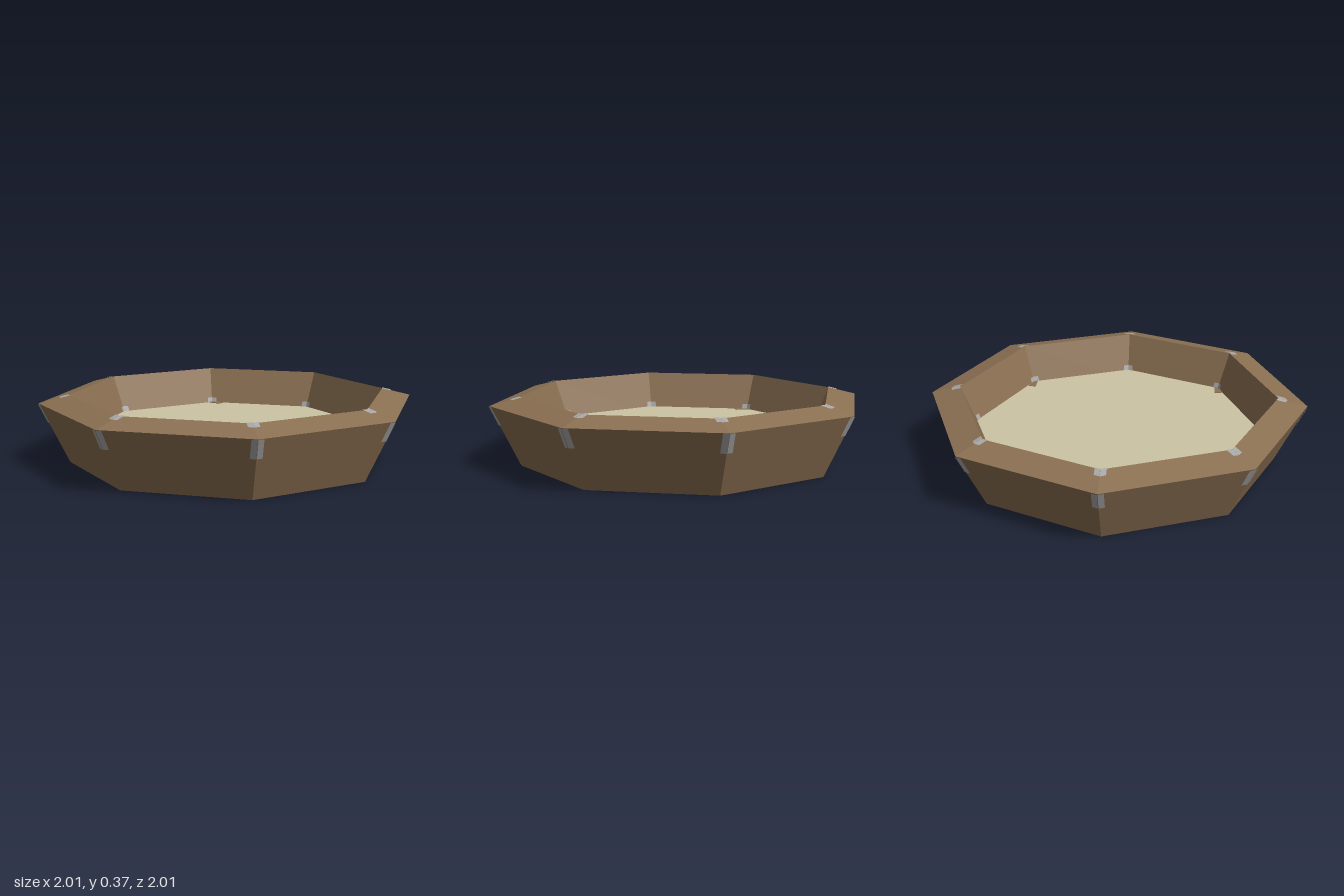
import * as THREE from 'three';
import { mergeGeometries } from 'three/addons/utils/BufferGeometryUtils.js';

const SIDES = 8;
// Four-sided wall section as [radius, height]: foot, outer lip, inner lip, inner keel
const PROFILE = [[0.845, 0], [1, 0.32], [0.845, 0.36], [0.745, 0.113]];

const around = (r, y, a) => new THREE.Vector3(r * Math.sin(a), y, r * Math.cos(a));

// Thin plate at the end of one wall face, running from a corner towards a neighbour
function clampPlate(from, to, corner, dir) {
  const step = (Math.PI * 2) / SIDES;
  const a = corner * step;
  const end = around(to[0], to[1], a);
  const start = end.clone().lerp(around(from[0], from[1], a), 0.31);
  const across = around(1, 0, a + dir * step).sub(around(1, 0, a)).setLength(0.03);
  const quad = [start, start.clone().add(across), end.clone().add(across), end];
  if (dir < 0) quad.reverse();
  const normal = quad[1].clone().sub(quad[0]).cross(quad[2].clone().sub(quad[0])).setLength(0.004);
  quad.forEach((p, i) => { quad[i] = p.clone().add(normal); });
  const geo = new THREE.BufferGeometry().setFromPoints([0, 1, 2, 0, 2, 3].map((i) => quad[i]));
  geo.computeVertexNormals();
  return geo;
}

export function createModel() {
  const model = new THREE.Group();
  model.name = 'octagonalBasin';
  const material = (name, color) => {
    const m = new THREE.MeshStandardMaterial({ color, flatShading: true });
    m.name = name;
    return m;
  };
  const wood = material('brown wood', 0x8c7153);
  const sand = material('pale sand', 0xcdc4a5);
  const metal = material('grey metal', 0xa8a8a8);

  const add = (name, geo, mat) => {
    const mesh = new THREE.Mesh(geo, mat);
    mesh.name = name;
    model.add(mesh);
    return mesh;
  };

  // Flared wall ring, closed all round its section
  const loop = [...PROFILE, PROFILE[0]];
  add('wall', new THREE.LatheGeometry(loop.map(([r, y]) => new THREE.Vector2(r, y)), SIDES), wood);

  // Floor slab set into the ring
  add('floor', new THREE.CylinderGeometry(0.765, 0.775, 0.084, SIDES).translate(0, 0.121, 0), sand);

  // Metal corner clamps on every face of the section
  const plates = [];
  for (let corner = 0; corner < SIDES; corner++) {
    for (let i = 0; i < PROFILE.length; i++) {
      for (const dir of [1, -1]) plates.push(clampPlate(loop[i], loop[i + 1], corner, dir));
    }
  }
  add('cornerClamps', mergeGeometries(plates), metal);

  // Small wooden inlays at the diagonal corners of the floor
  for (const x of [-1, 1]) {
    for (const z of [-1, 1]) {
      add('floorInlay', new THREE.BoxGeometry(0.08, 0.006, 0.04), wood).position.set(x * 0.51, 0.163, z * 0.54);
    }
  }
  return model;
}
